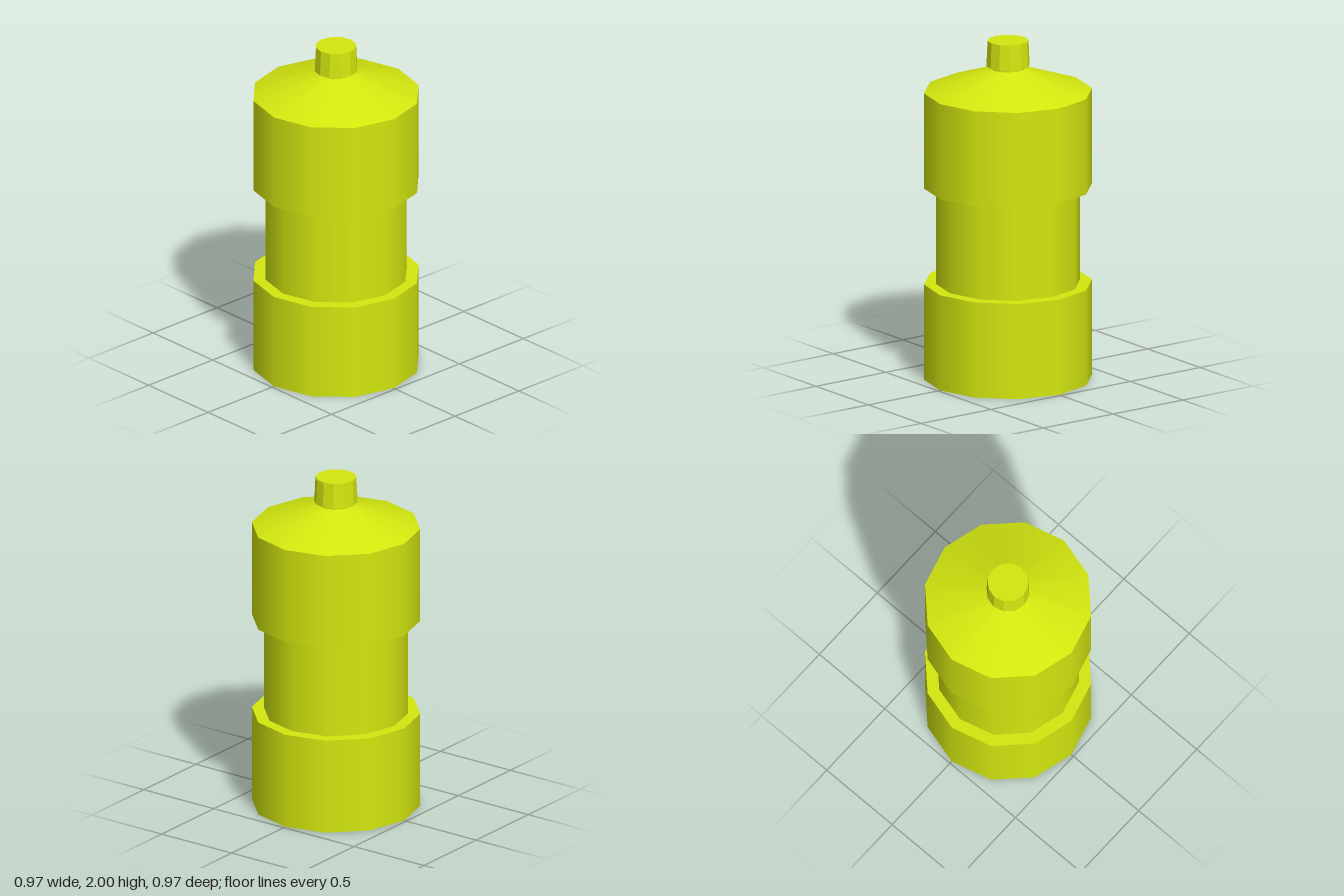
import * as THREE from 'three';

const SIDES = 12;

export function createModel() {
  const model = new THREE.Group();
  const smooth = new THREE.MeshStandardMaterial({ color: 0xd4e80f });
  const faceted = new THREE.MeshStandardMaterial({ color: 0xd4e80f, flatShading: true });

  // Upright twelve-sided section between two heights
  function section(name, rBottom, rTop, y0, y1, material = smooth, open = false) {
    const geometry = new THREE.CylinderGeometry(rTop, rBottom, y1 - y0, SIDES, 1, open);
    const mesh = new THREE.Mesh(geometry, material);
    mesh.name = name;
    mesh.position.y = (y0 + y1) / 2;
    model.add(mesh);
  }

  // Wide lower and upper body with a narrower grip between them
  section('lowerBody', 0.485, 0.485, 0, 0.565);
  section('grip', 0.415, 0.415, 0.565, 1.135, smooth, true);
  section('upperBody', 0.485, 0.485, 1.135, 1.7);

  // Sloping shoulder, short neck and slightly tapered cap
  section('shoulder', 0.485, 0.1, 1.7, 1.835, smooth, true);
  section('neck', 0.1, 0.1, 1.835, 1.85, smooth, true);
  section('cap', 0.125, 0.118, 1.85, 2, faceted);

  return model;
}
